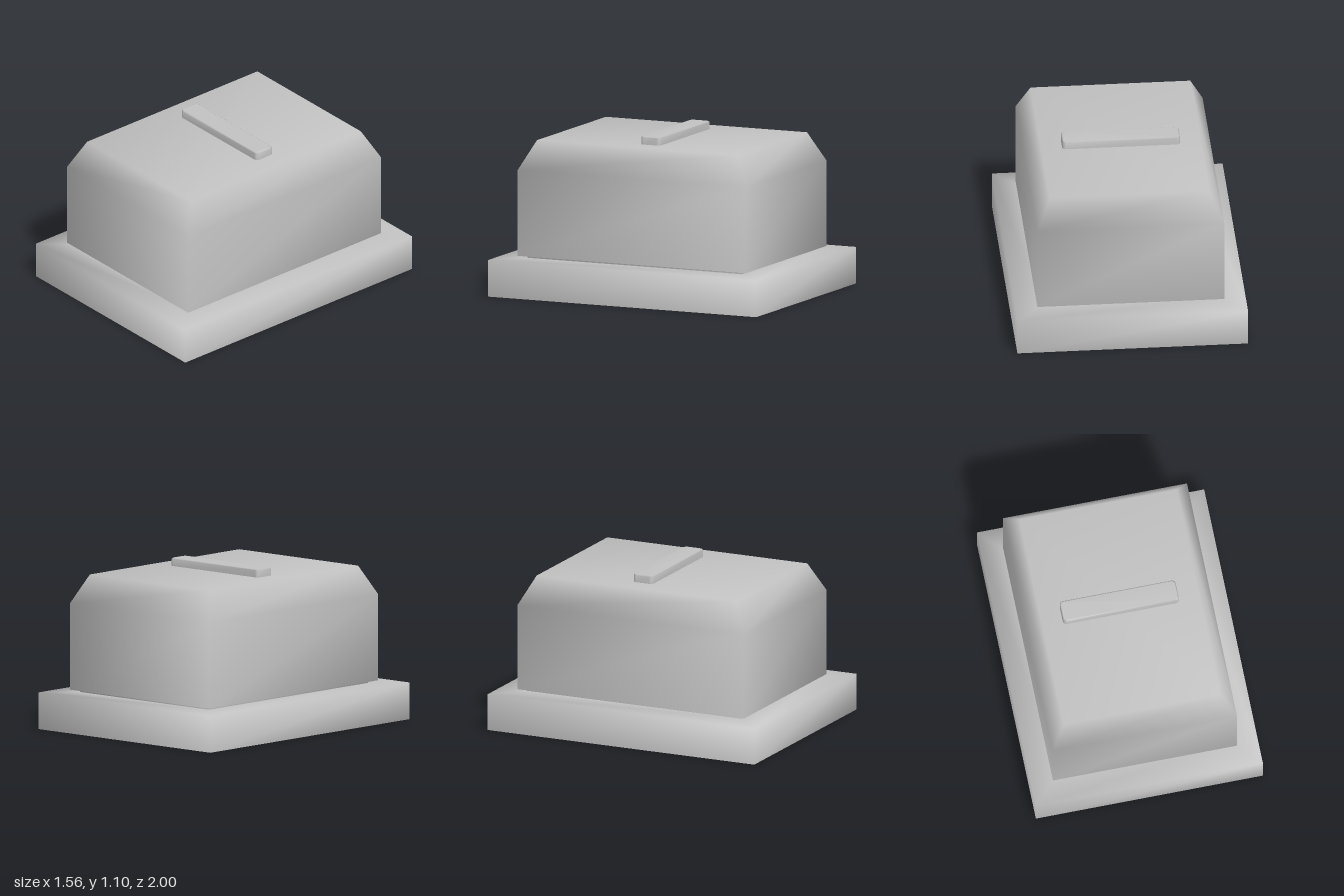
import * as THREE from 'three';

// Corner loop of a rectangle, counterclockwise from above; r > 0 rounds the corners
function rectLoop(hx, hz, r, zc) {
  const pts = [];
  const steps = r > 0 ? 4 : 0;
  const corners = [[1, 1], [1, -1], [-1, -1], [-1, 1]];
  corners.forEach(([sx, sz], c) => {
    for (let k = 0; k <= steps; k++) {
      const a = -Math.PI / 2 + c * Math.PI / 2 + (steps ? k / steps : 0.5) * Math.PI / 2;
      pts.push([sx * (hx - r) + r * Math.cos(a), zc + sz * (hz - r) - r * Math.sin(a)]);
    }
  });
  return pts;
}

// Smooth skin through rectangular rings [y, halfX, halfZ, cornerRadius], optional flat cap
function loft(rings, cap, zc = 0) {
  const pos = [], index = [];
  let n = 0;
  for (const [y, hx, hz, r = 0] of rings) {
    const loop = rectLoop(hx, hz, r, zc);
    n = loop.length;
    loop.forEach(([x, z]) => pos.push(x, y, z));
  }
  for (let j = 0; j < rings.length - 1; j++) {
    for (let i = 0; i < n; i++) {
      const a = j * n + i, b = j * n + (i + 1) % n;
      index.push(a, b, b + n, a, b + n, a + n);
    }
  }
  if (cap) {
    const s = (rings.length - 1) * n;
    for (let i = 1; i < n - 1; i++) index.push(s, s + i, s + i + 1);
  }
  const g = new THREE.BufferGeometry();
  g.setAttribute('position', new THREE.Float32BufferAttribute(pos, 3));
  g.setIndex(index);
  g.computeVertexNormals();
  return g;
}

export function createModel() {
  const group = new THREE.Group();
  const grey = new THREE.MeshStandardMaterial({ color: 0xc2c2c2, side: THREE.DoubleSide });
  grey.name = 'lightGrey';
  const add = (name, geometry) => {
    const mesh = new THREE.Mesh(geometry, grey);
    mesh.name = name;
    group.add(mesh);
  };

  // Hollow plinth: outer wall and top ledge, open below and in the middle
  add('base', loft([[0, 0.78, 1], [0.25, 0.78, 1], [0.25, 0.585, 0.8]], false));

  // Short recessed neck between base and cover
  add('neck', loft([[0.25, 0.585, 0.8], [0.267, 0.585, 0.8], [0.267, 0.632, 0.85]], false));

  // Hollow cover with sloping shoulders and a flat top
  add('cover', loft([[0.267, 0.632, 0.85], [0.853, 0.632, 0.85], [1.05, 0.54, 0.75]], true));

  // Slim rounded grip, set slightly behind the middle
  add('handle', loft([
    [1.05, 0.398, 0.074, 0.025],
    [1.098, 0.398, 0.074, 0.025],
    [1.104, 0.39, 0.066, 0.02],
  ], true, -0.026));

  return group;
}
